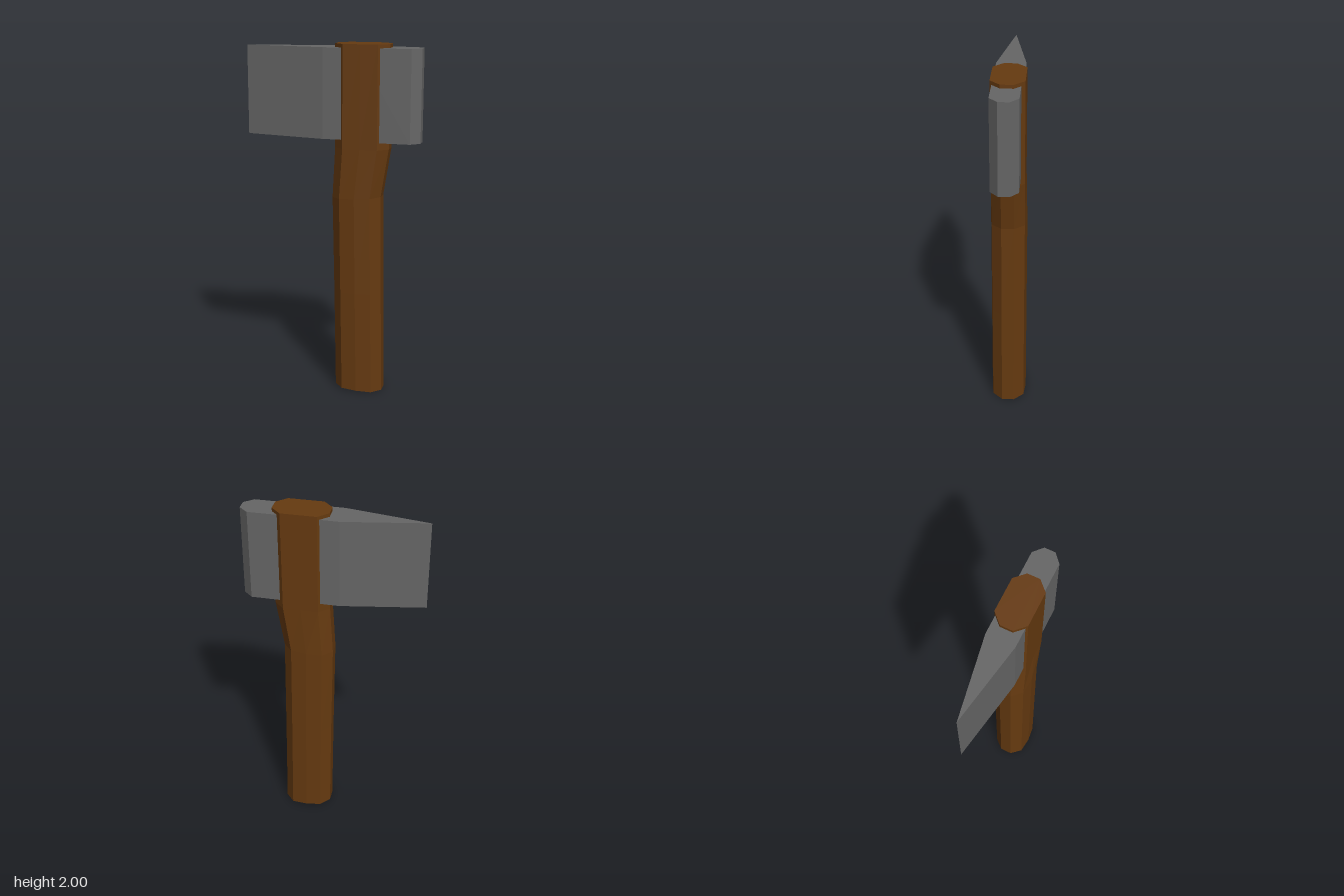
import * as THREE from 'three';

const wood = new THREE.MeshStandardMaterial({ color: 0x663a10, flatShading: true });
const steel = new THREE.MeshStandardMaterial({ color: 0x666666, flatShading: true });

// Ten-sided ring, counter-clockwise from above; yL and yR tilt it
function ring({ xL, xR, cL, cR, zMid, zCorner = 0.09, yL, yR }) {
  const mid = (cL + cR) / 2, e = 0.035;
  const outline = [
    [xR, e], [xR, -e], [cR, -zCorner], [mid, -zMid], [cL, -zCorner],
    [xL, -e], [xL, e], [cL, zCorner], [mid, zMid], [cR, zCorner],
  ];
  return outline.map(([x, z]) =>
    new THREE.Vector3(x, yL + (yR - yL) * (x - xL) / (xR - xL), z));
}

// Skin consecutive rings and cap both ends
function loft(rings) {
  const pos = [];
  const tri = (...pts) => pts.forEach(p => pos.push(p.x, p.y, p.z));
  const n = rings[0].length;
  for (let r = 0; r < rings.length - 1; r++) {
    const a = rings[r], b = rings[r + 1];
    for (let i = 0; i < n; i++) {
      const j = (i + 1) % n;
      tri(a[i], a[j], b[j]);
      tri(a[i], b[j], b[i]);
    }
  }
  const bottom = rings[0], top = rings[rings.length - 1];
  for (let i = 1; i < n - 1; i++) {
    tri(bottom[0], bottom[i + 1], bottom[i]);
    tri(top[0], top[i], top[i + 1]);
  }
  const geo = new THREE.BufferGeometry();
  geo.setAttribute('position', new THREE.Float32BufferAttribute(pos, 3));
  geo.computeVertexNormals();
  return geo;
}

// Plan outline given as [x, z], raised from y0 to y1
function prism(outline, y0, y1) {
  const shape = new THREE.Shape(outline.map(([x, z]) => new THREE.Vector2(x, -z)));
  const geo = new THREE.ExtrudeGeometry(shape, { depth: y1 - y0, bevelEnabled: false });
  return geo.rotateX(-Math.PI / 2).translate(0, y0, 0);
}

export function createModel() {
  const axe = new THREE.Group();
  axe.name = 'axe';
  const add = (name, geo, mat) => {
    const mesh = new THREE.Mesh(geo, mat);
    mesh.name = name;
    axe.add(mesh);
  };

  // Handle: slightly bent grip, flaring into the eye of the head
  add('handle', loft([
    ring({ xL: 0.025, xR: 0.3, cL: 0.075, cR: 0.25, zMid: 0.1, yL: 0.012, yR: 0 }),
    ring({ xL: 0.016, xR: 0.29, cL: 0.066, cR: 0.24, zMid: 0.1, yL: 0.6, yR: 0.6 }),
    ring({ xL: 0.005, xR: 0.282, cL: 0.057, cR: 0.232, zMid: 0.1, yL: 1.145, yR: 1.16 }),
    ring({ xL: 0.02, xR: 0.325, cL: 0.075, cR: 0.27, zMid: 0.09, yL: 1.43, yR: 1.43 }),
    ring({ xL: 0.02, xR: 0.325, cL: 0.075, cR: 0.27, zMid: 0.09, yL: 2, yR: 2 }),
  ]), wood);

  // Blade: wedge tapering to a sharp vertical edge
  add('blade', prism(
    [[-0.5, 0], [-0.04, 0.08], [0.15, 0.08], [0.15, -0.08], [-0.04, -0.08]], 1.48, 1.98), steel);

  // Poll: blunt chamfered back of the head
  add('poll', prism(
    [[0.15, 0.08], [0.45, 0.08], [0.5, 0.035], [0.5, -0.025], [0.45, -0.07], [0.15, -0.07]],
    1.47, 1.98), steel);

  return axe;
}
